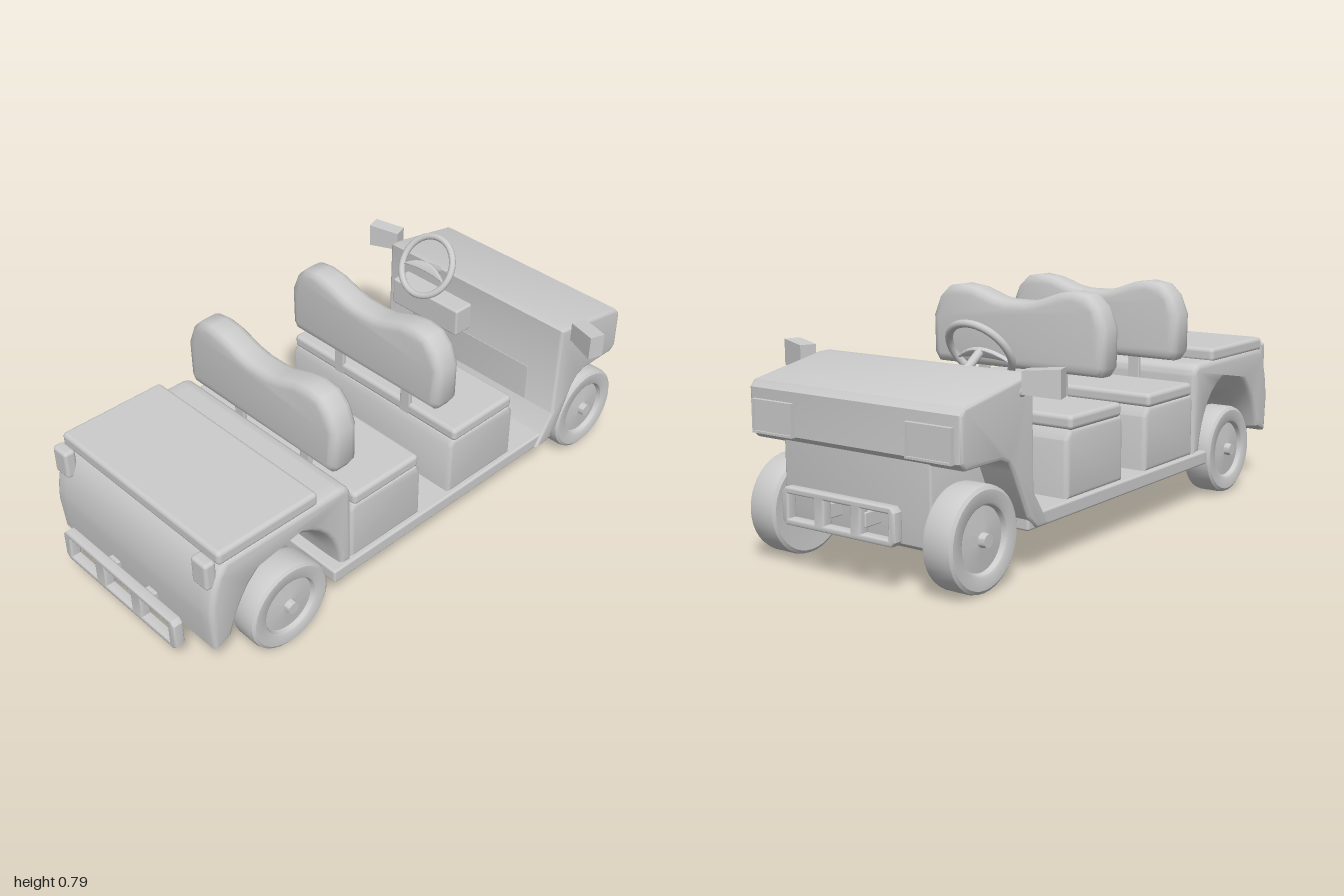
import * as THREE from 'three';
import { toCreasedNormals } from 'three/addons/utils/BufferGeometryUtils.js';
import { RoundedBoxGeometry } from 'three/addons/geometries/RoundedBoxGeometry.js';

const material = new THREE.MeshStandardMaterial({ color: 0xcccccc });

function add(parent, name, geometry, x = 0, y = 0, z = 0) {
  const mesh = new THREE.Mesh(geometry, material);
  mesh.name = name;
  mesh.position.set(x, y, z);
  parent.add(mesh);
  return mesh;
}

// Rounded box given by its limits on each axis
function block(parent, name, [x0, x1], [y0, y1], [z0, z1], r = 0.012) {
  const geometry = new RoundedBoxGeometry(x1 - x0, y1 - y0, z1 - z0, 3, r);
  return add(parent, name, geometry, (x0 + x1) / 2, (y0 + y1) / 2, (z0 + z1) / 2);
}

const toShape = (points) => new THREE.Shape(points.map(([x, y]) => new THREE.Vector2(x, y)));

// Extrusion centred on z = 0, with its bevel kept inside the outline
function slab(shape, width, bevel, steps = 1) {
  const geometry = new THREE.ExtrudeGeometry(shape, {
    depth: width - 2 * bevel, steps, curveSegments: 8,
    bevelEnabled: bevel > 0, bevelThickness: bevel, bevelSize: bevel, bevelOffset: -bevel, bevelSegments: 3,
  });
  return geometry.translate(0, 0, bevel - width / 2);
}

function rod(parent, name, from, to, radius) {
  const a = new THREE.Vector3(...from), b = new THREE.Vector3(...to);
  const mesh = add(parent, name, new THREE.CylinderGeometry(radius, radius, a.distanceTo(b), 16));
  mesh.position.copy(a).lerp(b, 0.5);
  mesh.quaternion.setFromUnitVectors(new THREE.Vector3(0, 1, 0), b.sub(a).normalize());
  return mesh;
}

// Tyre, dished rim and hub in one turned profile
function wheelGeometry() {
  const profile = [[0, -0.05], [0.1, -0.05], [0.145, -0.053], [0.155, -0.046], [0.158, -0.035],
    [0.158, 0.035], [0.155, 0.046], [0.145, 0.053], [0.108, 0.053], [0.102, 0.049], [0.097, 0.034],
    [0.06, 0.038], [0.022, 0.042], [0.02, 0.064], [0, 0.064]];
  const geometry = new THREE.LatheGeometry(profile.map(([r, h]) => new THREE.Vector2(r, h)), 40);
  return toCreasedNormals(geometry.rotateX(Math.PI / 2), 0.6);
}

// Rear body whose wheel arch sweeps upward towards the outer sides
function rearBodyGeometry() {
  const shape = new THREE.Shape();
  shape.moveTo(-0.93, 0.18);
  shape.lineTo(-0.865, 0.2);
  shape.bezierCurveTo(-0.83, 0.3, -0.77, 0.345, -0.63, 0.345);
  shape.bezierCurveTo(-0.49, 0.345, -0.43, 0.3, -0.415, 0.185);
  shape.lineTo(-0.372, 0.185);
  shape.lineTo(-0.372, 0.46);
  shape.quadraticCurveTo(-0.375, 0.503, -0.42, 0.503);
  shape.lineTo(-0.87, 0.503);
  shape.quadraticCurveTo(-0.935, 0.44, -0.94, 0.3);
  const geometry = slab(shape, 0.785, 0.018, 20);
  const p = geometry.attributes.position;
  for (let i = 0; i < p.count; i++) {
    const u = (p.getX(i) + 0.64) / 0.235;
    if (Math.abs(u) < 1 && p.getY(i) < 0.4) {
      const flare = THREE.MathUtils.smoothstep(Math.abs(p.getZ(i)), 0.28, 0.4);
      p.setY(i, p.getY(i) + 0.095 * flare * (1 - u * u));
    }
  }
  return toCreasedNormals(geometry, 0.7);
}

// Bumper frame with three openings, facing along x
function bumper(parent, name, x, half, bracketZ, bodyX) {
  const group = new THREE.Group();
  group.name = name;
  parent.add(group);
  const shape = toShape([[-half, 0.165], [-half + 0.015, 0.15], [half - 0.015, 0.15], [half, 0.165],
    [half, 0.25], [half - 0.015, 0.265], [-half + 0.015, 0.265], [-half, 0.25]]);
  const w = half * 0.235;
  for (const c of [-0.65 * half, 0, 0.65 * half]) {
    const hole = new THREE.Path();
    hole.moveTo(c - w, 0.17).lineTo(c - w, 0.245).lineTo(c + w, 0.245).lineTo(c + w, 0.17).closePath();
    shape.holes.push(hole);
  }
  const frame = slab(shape, 0.036, 0.006).rotateY(-Math.PI / 2);
  add(group, 'bumperFrame', toCreasedNormals(frame, 0.6), x);
  for (const z of [-bracketZ, bracketZ]) {
    block(group, 'bumperBracket', [Math.min(x, bodyX), Math.max(x, bodyX)], [0.185, 0.23], [z - 0.022, z + 0.022], 0.004);
  }
}

function seat(parent, name, x) {
  const group = new THREE.Group();
  group.name = name;
  group.position.x = x;
  parent.add(group);
  const base = toShape([[0, 0.185], [0.315, 0.185], [0.315, 0.37], [0.295, 0.402], [0.012, 0.402], [0, 0.38]]);
  add(group, 'seatBase', toCreasedNormals(slab(base, 0.775, 0.015), 0.6));
  block(group, 'seatCushion', [0.012, 0.3], [0.398, 0.445], [-0.39, 0.39], 0.015);
  // Backrest with a raised hump behind each place
  const half = [[0.33, 0.52], [0.35, 0.55], [0.352, 0.68], [0.325, 0.745], [0.285, 0.783], [0.23, 0.792],
    [0.17, 0.784], [0.09, 0.757], [0.04, 0.748]];
  const outline = [...half, ...half.map(([z, y]) => [-z, y]).reverse()];
  const back = slab(toShape(outline), 0.104, 0.03).rotateY(-Math.PI / 2);
  add(group, 'backrest', toCreasedNormals(back, 0.8), 0.015);
  for (const z of [-0.16, 0.16]) block(group, 'backrestPost', [0.012, 0.028], [0.3, 0.56], [z - 0.022, z + 0.022], 0.004);
}

function steering(parent) {
  const group = new THREE.Group();
  group.name = 'steeringWheel';
  // Local y is the column axis, local x runs up the wheel face
  group.position.set(0.543, 0.643, -0.168);
  group.rotation.z = Math.atan2(0.195, 0.135);
  parent.add(group);
  add(group, 'steeringRim', new THREE.TorusGeometry(0.109, 0.012, 12, 40).rotateX(Math.PI / 2));
  const pad = new THREE.Shape();
  pad.moveTo(-0.03, -0.1);
  pad.quadraticCurveTo(0.055, 0, -0.03, 0.1);
  pad.quadraticCurveTo(-0.01, 0, -0.03, -0.1);
  add(group, 'steeringSpokes', toCreasedNormals(slab(pad, 0.014, 0.003).rotateX(Math.PI / 2), 0.6));
  rod(group, 'steeringColumn', [0, 0, 0], [0, -0.17, 0], 0.014);
}

export function createModel() {
  const model = new THREE.Group();
  model.name = 'utilityCart';

  block(model, 'floor', [-0.455, 0.62], [0.14, 0.188], [-0.4, 0.4], 0.008);

  // Hood, dash and front leg panels
  const cowl = toShape([[0.525, 0.145], [0.585, 0.145], [0.63, 0.185], [0.7, 0.335], [0.725, 0.365], [0.76, 0.378],
    [0.915, 0.378], [0.938, 0.4], [0.938, 0.535], [0.92, 0.556], [0.64, 0.608], [0.605, 0.608], [0.6, 0.26]]);
  add(model, 'frontCowl', toCreasedNormals(slab(cowl, 0.82, 0.012), 0.6));
  const apron = toShape([[0.6, 0.115], [0.88, 0.115], [0.91, 0.135], [0.92, 0.2], [0.92, 0.4], [0.6, 0.4]]);
  add(model, 'frontApron', toCreasedNormals(slab(apron, 0.57, 0.006), 0.6));
  block(model, 'dashBox', [0.528, 0.62], [0.425, 0.53], [-0.32, 0], 0.008);

  // Rear body and lid
  add(model, 'rearBody', rearBodyGeometry());
  block(model, 'rearLid', [-0.893, -0.505], [0.495, 0.545], [-0.387, 0.387], 0.015);

  seat(model, 'rearSeat', -0.37);
  seat(model, 'frontSeat', 0.085);
  steering(model);
  for (const z of [-0.12, -0.22]) {
    block(model, 'pedal', [0.515, 0.53], [0.185, 0.285], [z - 0.025, z + 0.025], 0.005).rotation.z = -0.6;
  }

  bumper(model, 'frontBumper', 0.982, 0.22, 0.075, 0.9);
  bumper(model, 'rearBumper', -0.982, 0.285, 0.095, -0.9);

  // Wheels and axles
  const wheel = wheelGeometry();
  for (const [name, x] of [['rear', -0.634], ['front', 0.815]]) {
    rod(model, name + 'Axle', [x, 0.163, -0.3], [x, 0.163, 0.3], 0.012);
    for (const side of [-1, 1]) {
      const mesh = add(model, name + 'Wheel', wheel, x, 0.16, side * 0.342);
      if (side < 0) mesh.rotation.y = Math.PI;
    }
  }

  for (const side of [-1, 1]) {
    // Headlight: frame with a recessed lens
    const frame = toShape([[-0.083, -0.052], [0.083, -0.052], [0.083, 0.052], [-0.083, 0.052]]);
    const hole = new THREE.Path();
    hole.moveTo(-0.076, -0.045).lineTo(-0.076, 0.045).lineTo(0.076, 0.045).lineTo(0.076, -0.045).closePath();
    frame.holes.push(hole);
    add(model, 'headlightFrame', slab(frame, 0.03, 0).rotateY(-Math.PI / 2), 0.938, 0.45, side * 0.303);
    add(model, 'headlightLens', new THREE.BoxGeometry(0.024, 0.09, 0.152), 0.935, 0.45, side * 0.303);

    const tail = block(model, 'tailLight', [-0.937, -0.895], [0.42, 0.52], [-0.035, 0.035], 0.012);
    tail.position.z = side * 0.345;

    // Mirror on a short stem, turned outward
    rod(model, 'mirrorStem', [0.665, 0.55, side * 0.39], [0.662, 0.575, side * 0.44], 0.012);
    const head = new THREE.BoxGeometry(0.055, 0.085, 0.115);
    const p = head.attributes.position;
    for (let i = 0; i < p.count; i++) {
      if (p.getZ(i) * side < 0) p.setY(i, p.getY(i) * 0.8);
    }
    add(model, 'mirrorHead', toCreasedNormals(head, 0.3), 0.653, 0.595, side * 0.479).rotation.y = -side * 0.33;
  }

  return model;
}
